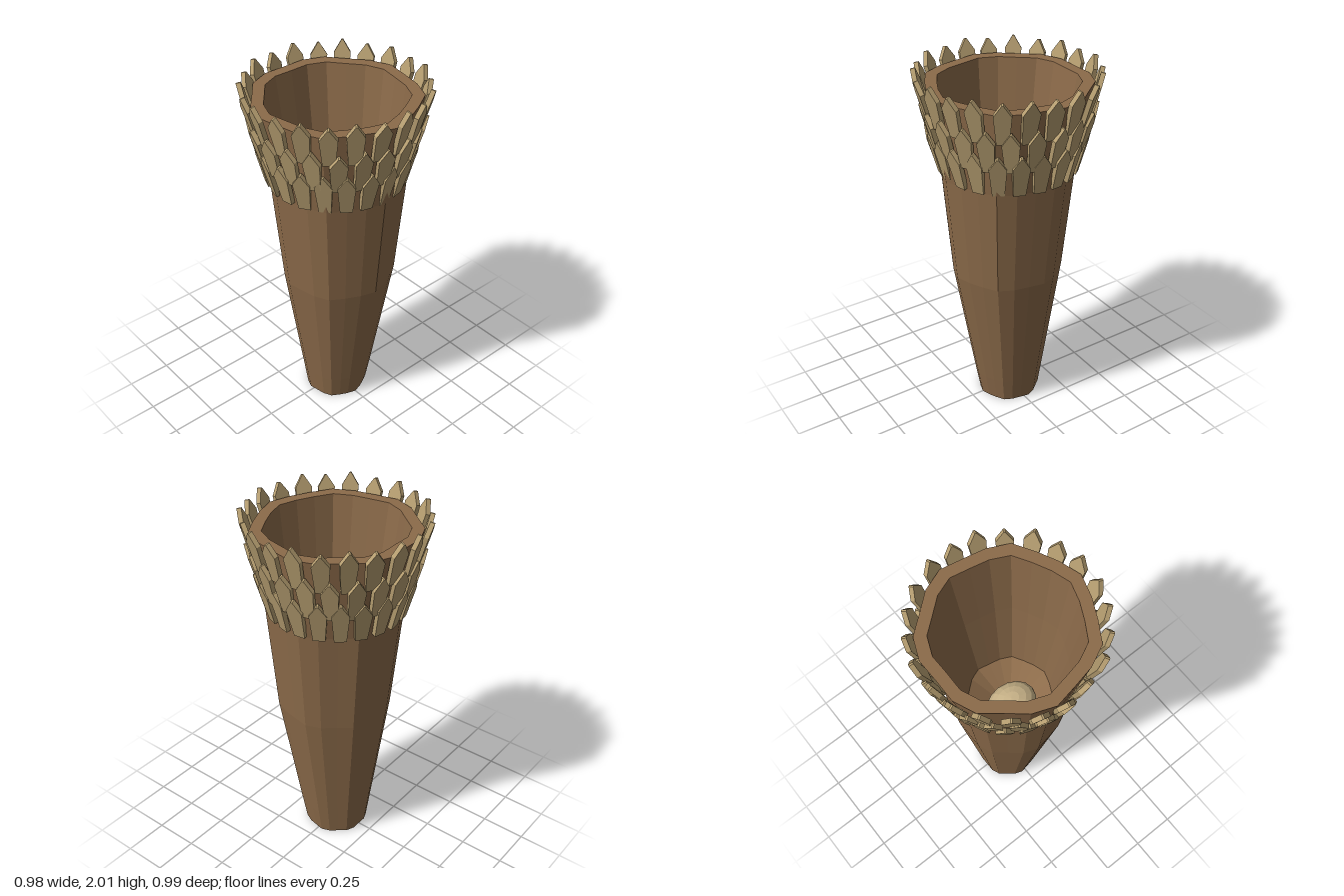
import * as THREE from 'three';

const SIDES = 22;
const bark = new THREE.MeshStandardMaterial({ color: 0x8c6b4a, flatShading: true });
const tan = new THREE.MeshStandardMaterial({ color: 0xb8a072, flatShading: true });
const pale = new THREE.MeshStandardMaterial({ color: 0xcbb58a, flatShading: true });

// Lathe whose rings are slightly lobed and which bows gently towards +x
function lobedLathe(profile) {
  const geo = new THREE.LatheGeometry(
    profile.map(([r, y]) => new THREE.Vector2(r, y)), SIDES, Math.PI / 2);
  const pos = geo.attributes.position;
  for (let i = 0; i < pos.count; i++) {
    const x = pos.getX(i), y = pos.getY(i), z = pos.getZ(i);
    const k = 1 + 0.032 * Math.cos(7 * Math.atan2(z, x));
    pos.setX(i, x * k + 0.016 * Math.sin(Math.PI * y / 1.92));
    pos.setZ(i, z * k);
  }
  geo.computeVertexNormals();
  return geo;
}

// Pointed scale, base at the origin, widest near the shoulders
function scaleGeometry(height, width) {
  const w = width / 2;
  const shape = new THREE.Shape();
  shape.moveTo(-w * 0.7, 0);
  shape.lineTo(w * 0.7, 0);
  shape.lineTo(w, height * 0.72);
  shape.lineTo(w * 0.1, height);
  shape.lineTo(-w * 0.1, height);
  shape.lineTo(-w, height * 0.72);
  shape.closePath();
  const geo = new THREE.ExtrudeGeometry(shape, { depth: 0.025, bevelEnabled: false });
  geo.translate(0, 0, -0.025);
  return geo;
}

export function createModel() {
  const model = new THREE.Group();
  model.name = 'scaledCup';

  // Tapering outer wall, closed underneath, with the rim and hollow inside
  const cup = new THREE.Mesh(lobedLathe([
    [0, 0], [0.175, 0], [0.198, 0.15], [0.305, 0.86], [0.358, 1.46], [0.432, 1.92],
    [0.368, 1.92], [0.31, 1.45], [0.24, 0.95], [0, 0.78],
  ]), bark);
  cup.name = 'cup';
  model.add(cup);

  // Flattened egg resting on the floor of the hollow
  const egg = new THREE.Mesh(new THREE.SphereGeometry(1, 16, 10), pale);
  egg.name = 'egg';
  egg.scale.set(0.155, 0.1, 0.12);
  egg.position.set(0, 0.93, 0.03);
  model.add(egg);

  // Three overlapping rows of outward-leaning scales around the rim
  const rows = [
    { y: 1.46, r: 0.372, h: 0.235, shift: 0.5 },
    { y: 1.6, r: 0.402, h: 0.235, shift: 0.1 },
    { y: 1.765, r: 0.432, h: 0.235, shift: -0.25 },
  ];
  rows.forEach(({ y, r, h, shift }, n) => {
    const row = new THREE.Group();
    row.name = `scaleRow${n + 1}`;
    const geo = scaleGeometry(h, 0.09);
    for (let i = 0; i < SIDES; i++) {
      const a = (i + shift) / SIDES * Math.PI * 2;
      const scale = new THREE.Mesh(geo, tan);
      scale.name = 'scale';
      scale.rotation.order = 'YXZ';
      scale.rotation.set(0.26 + 0.02 * Math.sin(i * 2.4 + n), a + 0.12 * Math.sin(i * 1.7 + n * 2), 0);
      scale.position.set(Math.sin(a) * r, y, Math.cos(a) * r);
      scale.scale.y = 1 + 0.03 * Math.sin(i * 3.1 + n);
      row.add(scale);
    }
    model.add(row);
  });

  return model;
}
